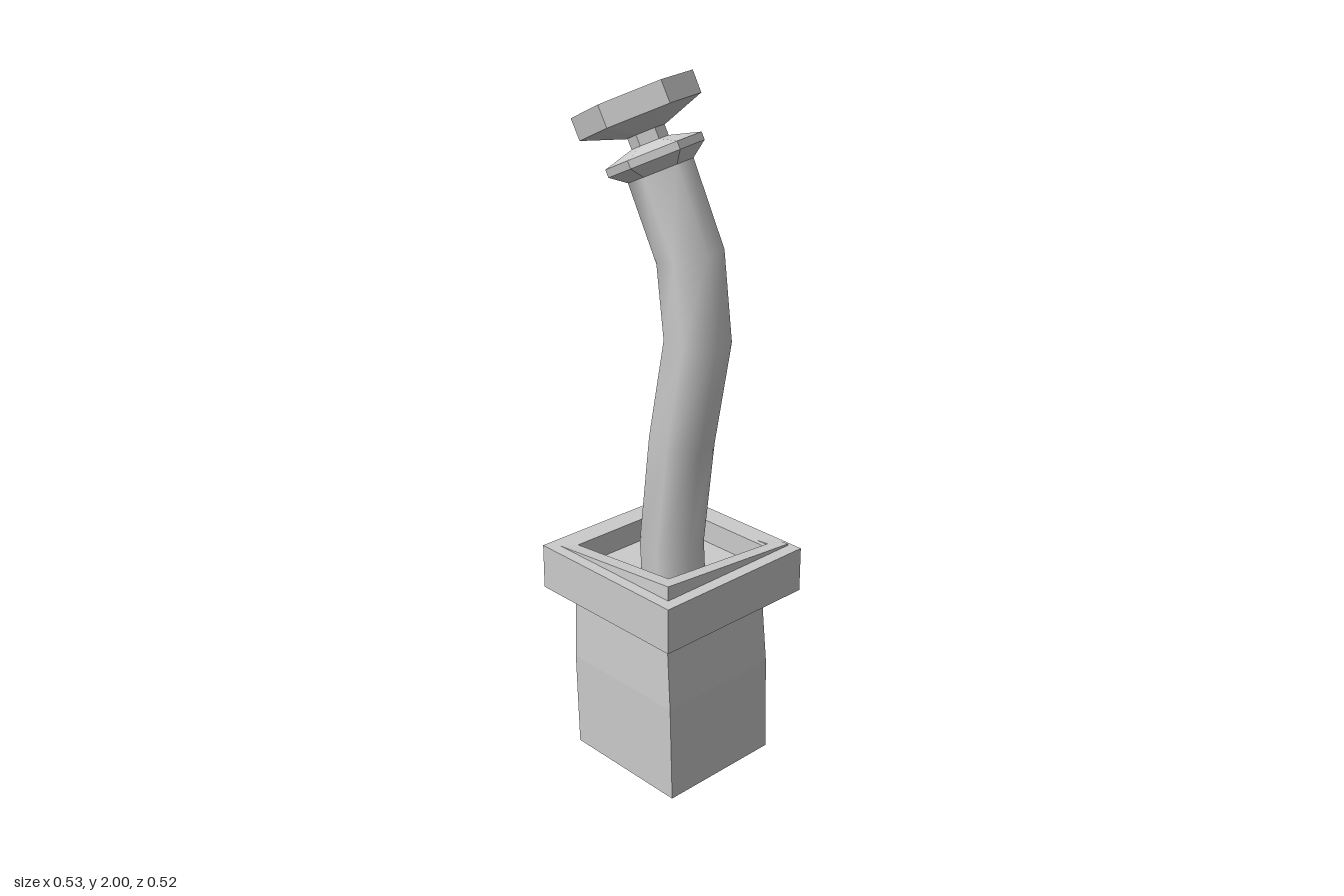
import * as THREE from 'three';
import { mergeVertices } from 'three/addons/utils/BufferGeometryUtils.js';

const V = (x, y, z) => new THREE.Vector3(x, y, z);
const SIDES = 6;
const PHASE = THREE.MathUtils.degToRad(12);

// Skin a list of equal-length rings, listed from bottom to top
function loft(rings, capBottom, capTop, flat) {
  const n = rings[0].length, tri = [];
  for (let i = 0; i < rings.length - 1; i++) {
    for (let k = 0; k < n; k++) {
      const a = rings[i][k], b = rings[i][(k + 1) % n];
      const c = rings[i + 1][k], d = rings[i + 1][(k + 1) % n];
      tri.push(a, c, b, b, c, d);
    }
  }
  const fan = (r, up) => {
    for (let k = 1; k < n - 1; k++) tri.push(r[0], r[up ? k + 1 : k], r[up ? k : k + 1]);
  };
  if (capBottom) fan(rings[0], false);
  if (capTop) fan(rings[rings.length - 1], true);
  let geo = new THREE.BufferGeometry().setFromPoints(tri);
  if (!flat) geo = mergeVertices(geo);
  geo.computeVertexNormals();
  return geo;
}

// Six-sided ring around a centre, facing along an axis
function hexRing(centre, axis, radius) {
  const q = new THREE.Quaternion().setFromUnitVectors(V(0, 1, 0), axis);
  return Array.from({ length: SIDES }, (_, k) => {
    const a = PHASE + (k / SIDES) * Math.PI * 2;
    return V(Math.cos(a) * radius, 0, Math.sin(a) * radius).applyQuaternion(q).add(centre);
  });
}

// Rectangular ring at a given height
const rectRing = (y, x0, x1, z0, z1) => [V(x1, y, z0), V(x1, y, z1), V(x0, y, z1), V(x0, y, z0)];

// Square frame with a square hole, centred on its own origin
function frameGeometry(outer, inner, height) {
  const square = (h, T) => new T([[-h, -h], [h, -h], [h, h], [-h, h]].map(([x, y]) => new THREE.Vector2(x, y)));
  const shape = square(outer, THREE.Shape);
  shape.holes.push(square(inner, THREE.Path));
  return new THREE.ExtrudeGeometry(shape, { depth: height, bevelEnabled: false })
    .translate(0, 0, -height / 2).rotateX(-Math.PI / 2);
}

export function createModel() {
  const group = new THREE.Group();
  const add = (name, geo, opts = {}) => {
    const mesh = new THREE.Mesh(geo, new THREE.MeshStandardMaterial({ color: 0xcccccc, ...opts }));
    mesh.name = name;
    group.add(mesh);
    return mesh;
  };

  // Slightly warped pot wall, open at the bottom
  const t = 0.012;
  const levels = [
    [0, -0.185, 0.222, -0.19, 0.2],
    [0.3, -0.185, 0.222, -0.182, 0.208],
    [0.54, -0.185, 0.2, -0.178, 0.2],
  ];
  const outside = levels.map((l) => rectRing(...l));
  const inside = levels.map(([y, a, b, c, d]) => rectRing(y, a + t, b - t, c + t, d - t)).reverse();
  add('potWall', loft([...outside, ...inside, outside[0]], false, false, true),
    { flatShading: true, side: THREE.DoubleSide });

  // Level rim and the crooked frame poking through it
  add('rim', frameGeometry(0.2625, 0.195, 0.135)).position.set(0.0095, 0.5925, 0);
  const crooked = add('crookedFrame', frameGeometry(0.239, 0.197, 0.133));
  crooked.position.set(0.001, 0.595, -0.006);
  crooked.rotation.set(-0.075, 0, 0.09);

  // Soil
  const soil = add('soil', new THREE.PlaneGeometry(0.4, 0.4).rotateX(-Math.PI / 2), { side: THREE.DoubleSide });
  soil.position.set(0.0095, 0.59, 0);

  // Bent stem
  const path = [
    V(0.03, 0.05, -0.02), V(0.01, 0.68, 0), V(0.04, 1.0, -0.01),
    V(0.09, 1.3, -0.02), V(0.065, 1.53, -0.015), V(-0.03, 1.76, 0.008),
  ];
  const axis = V(-0.39, 0.91, 0.13).normalize();
  const stemRings = path.map((p, i) => {
    const dir = path[Math.min(i + 1, path.length - 1)].clone().sub(path[Math.max(i - 1, 0)]).normalize();
    return hexRing(p, i === path.length - 1 ? axis : dir, 0.092);
  });
  add('stem', loft(stemRings, false, false, false));
  add('stemEnd', loft([stemRings[0]], true, false, true), { flatShading: true });

  // Collar, neck and cap as [distance along axis, radius]
  const top = path[path.length - 1];
  const along = (profile) => profile.map(([s, r]) => hexRing(top.clone().addScaledVector(axis, s), axis, r));
  const parts = {
    collar: [[-0.015, 0.088], [0.02, 0.135], [0.042, 0.135], [0.065, 0.052]],
    neck: [[0.06, 0.052], [0.1, 0.052]],
    cap: [[0.095, 0.055], [0.135, 0.17], [0.197, 0.17]],
  };
  for (const [name, profile] of Object.entries(parts)) {
    add(name, loft(along(profile), true, true, true), { flatShading: true });
  }
  return group;
}
